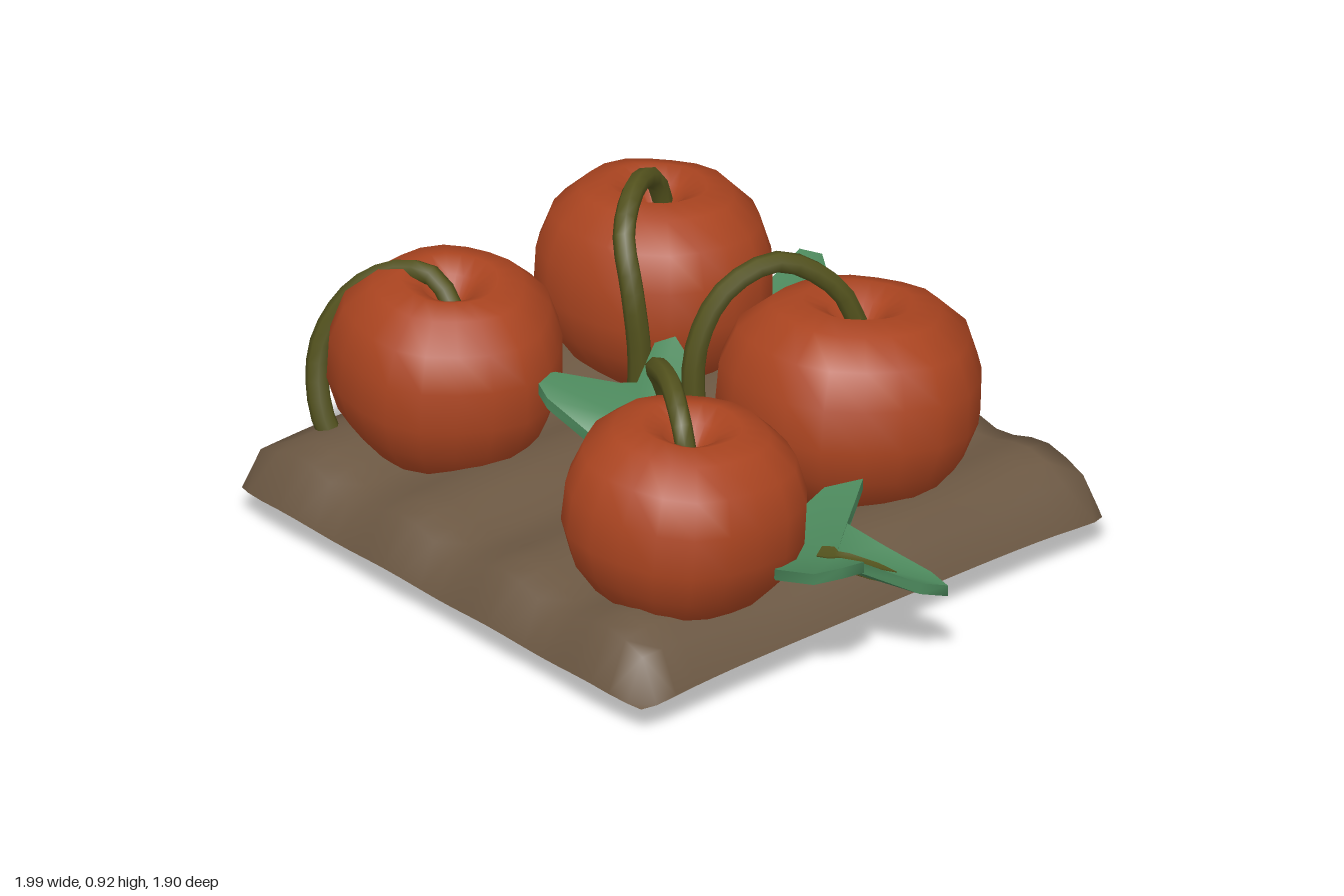
import * as THREE from 'three';
import { mergeVertices } from 'three/addons/utils/BufferGeometryUtils.js';

const material = (name, color, side = THREE.FrontSide) => {
  const m = new THREE.MeshStandardMaterial({ color, side });
  m.name = name;
  return m;
};

export function createModel() {
  const group = new THREE.Group();
  const soil = material('soil brown', 0x6c5843, THREE.DoubleSide);
  const orange = material('pumpkin orange', 0xaa4420);
  const olive = material('stem olive', 0x53521d, THREE.DoubleSide);
  const green = material('leaf green', 0x4b875b, THREE.DoubleSide);

  const add = (name, geometry, mat) => {
    const mesh = new THREE.Mesh(geometry, mat);
    mesh.name = name;
    group.add(mesh);
    return mesh;
  };
  const smooth = (g) => {
    g.deleteAttribute('uv');
    g.deleteAttribute('normal');
    const merged = mergeVertices(g, 1e-4);
    merged.computeVertexNormals();
    return merged;
  };

  // Furrowed patch of earth: an open sheet with its rim folded down
  const N = 24;
  const patch = new THREE.PlaneGeometry(2, 2, N, N).rotateX(-Math.PI / 2);
  const pos = patch.attributes.position;
  const half = 0.868;
  const spread = (i) => {
    if (i === 0 || i === N) return i ? half : -half;
    return ((i - 1) / (N - 2) * 2 - 1) * (half - 0.06);
  };
  for (let k = 0; k < pos.count; k++) {
    const i = k % (N + 1), j = Math.floor(k / (N + 1));
    const ring = Math.min(i, j, N - i, N - j);
    let x = spread(i), z = spread(j);
    const corner = Math.max(0, Math.abs(x) + Math.abs(z) - 1.66);
    x -= Math.sign(x) * corner * 0.3;
    z -= Math.sign(z) * corner * 0.3;
    const wave = Math.cos((x - 0.23) * Math.PI * 2 / 0.43);
    let y = 0.243 + 0.024 * wave + 0.005 * Math.sin(z * 7 + x * 3);
    if (ring === 1) y -= 0.015;
    if (ring === 0) {
      const onSide = i === 0 || i === N;
      y = onSide ? 0.11 - 0.03 * Math.abs(z / half) ** 5 : 0.094 + 0.007 * wave;
      z += onSide ? 0 : 0.006 * wave;
    }
    pos.setXYZ(k, x - 0.13, y, z + 0.077);
  }
  add('soilPatch', smooth(patch), soil);

  // Pumpkins: squat ribbed lathes, dimpled at both ends
  const profile = [[0.45, 0], [0.7, 0.12], [0.89, 0.27], [0.99, 0.45],
    [0.98, 0.66], [0.87, 0.84], [0.64, 0.965], [0.41, 1], [0.23, 0.945], [0.1, 0.84], [0, 0.8]];
  const pumpkin = (name, [x, z], [rx, rz], bottom, top, tiltX, tiltZ, phase, dimple) => {
    const full = [[0, dimple], [0.25, dimple * 0.8], ...profile];
    const g = new THREE.LatheGeometry(full.map((p) => new THREE.Vector2(...p)), 20);
    const p = g.attributes.position, h = top - bottom;
    for (let k = 0; k < p.count; k++) {
      const px = p.getX(k), pz = p.getZ(k), a = Math.atan2(pz, px);
      const rib = 0.99 + 0.025 * Math.cos(a * 5 + phase) + 0.012 * Math.cos(a * 3 - phase);
      p.setXYZ(k, px * rx * rib, (p.getY(k) - 0.5) * h, pz * rz * rib);
    }
    const mesh = add(name, smooth(g), orange);
    mesh.position.set(x, (top + bottom) / 2, z);
    mesh.rotation.set(tiltX, 0, tiltZ);
  };
  pumpkin('frontLeftPatchPumpkin', [-0.63, 0.467], [0.335, 0.335], 0.165, 0.73, 0, -0.04, 0.5, 0.04);
  pumpkin('backLeftPatchPumpkin', [-0.637, -0.3], [0.35, 0.33], 0.165, 0.735, -0.08, 0.05, 2, 0.04);
  pumpkin('backRightPatchPumpkin', [0.25, -0.255], [0.375, 0.38], 0.165, 0.745, -0.13, 0.06, 1, 0.2);
  pumpkin('frontRightPatchPumpkin', [0.43, 0.522], [0.345, 0.35], 0.165, 0.72, -0.08, -0.03, 3, 0.04);

  // Arching stems, thicker toward the ground; the root end may be brown
  const stem = (name, points, brownFrom = 1) => {
    const curve = new THREE.CatmullRomCurve3(points.map((p) => new THREE.Vector3(...p)));
    const segs = 20, sides = 7;
    const g = new THREE.TubeGeometry(curve, segs, 1, sides);
    const p = g.attributes.position, v = new THREE.Vector3();
    for (let k = 0; k < p.count; k++) {
      const t = Math.floor(k / (sides + 1)) / segs;
      const c = curve.getPointAt(t);
      v.fromBufferAttribute(p, k).sub(c).multiplyScalar(0.029 + 0.007 * t).add(c);
      p.setXYZ(k, v.x, v.y, v.z);
    }
    const split = Math.round(segs * brownFrom) * sides * 6;
    g.addGroup(0, split, 0);
    g.addGroup(split, g.index.count - split, 1);
    add(name, g, [olive, soil]);
    // Cut end
    const cap = add(name + 'End', new THREE.CircleGeometry(0.036, sides), brownFrom < 1 ? soil : green);
    const end = curve.getPointAt(1);
    cap.position.copy(end);
    cap.lookAt(end.clone().add(curve.getTangentAt(1)));
  };
  stem('frontLeftStem', [[-0.6, 0.65, 0.475], [-0.66, 0.72, 0.485], [-0.77, 0.715, 0.525],
    [-0.865, 0.64, 0.605], [-0.91, 0.48, 0.69], [-0.87, 0.29, 0.72], [-0.79, 0.13, 0.68],
    [-0.69, 0.025, 0.625]], 0.78);
  stem('backLeftStem', [[-0.665, 0.63, -0.36], [-0.65, 0.75, -0.31], [-0.58, 0.805, -0.18],
    [-0.48, 0.74, -0.05], [-0.41, 0.6, -0.02], [-0.39, 0.4, -0.03], [-0.41, 0.17, -0.04]]);
  stem('backRightStem', [[0.22, 0.64, -0.31], [0.19, 0.78, -0.25], [0.12, 0.885, -0.1],
    [0.075, 0.83, 0.06], [0.06, 0.68, 0.15], [0.07, 0.45, 0.165], [0.1, 0.2, 0.15]]);
  stem('frontRightStem', [[0.45, 0.61, 0.52], [0.41, 0.71, 0.51], [0.28, 0.765, 0.44],
    [0.13, 0.72, 0.36], [0.07, 0.62, 0.28], [0.06, 0.45, 0.22], [0.09, 0.2, 0.22]]);

  // Thin closed plate: upper fan, lower fan and a crisp rim
  const plate = (name, centre, outline, thickness, mat) => {
    const n = outline.length;
    const low = ([x, y, z]) => [x, y - thickness, z];
    const top = [centre, ...outline];
    const points = [...top, ...top.map(low), ...outline, ...outline.map(low)];
    const index = [], under = n + 1, rim = 2 * n + 2;
    for (let i = 0; i < n; i++) {
      const j = (i + 1) % n;
      index.push(0, i + 1, j + 1, under, under + j + 1, under + i + 1);
      index.push(rim + i, rim + n + i, rim + j, rim + j, rim + n + i, rim + n + j);
    }
    const g = new THREE.BufferGeometry();
    g.setAttribute('position', new THREE.Float32BufferAttribute(points.flat(), 3));
    g.setIndex(index);
    g.computeVertexNormals();
    add(name, g, mat);
  };

  // Three-lobed leaves
  const thick = 0.034;
  const rightCentre = [0.75, 0.335, 0.24];
  const rightOutline = [[0.5, 0.33, 0.2], [0.6, 0.32, 0.36], [0.75, 0.375, 0.46],
    [0.93, 0.44, 0.475], [0.975, 0.455, 0.41], [0.94, 0.42, 0.3], [0.86, 0.37, 0.25],
    [0.97, 0.3, 0.12], [0.995, 0.275, 0.04], [0.92, 0.285, 0.035], [0.8, 0.34, 0.1],
    [0.67, 0.37, 0.13], [0.64, 0.41, 0.07], [0.59, 0.43, 0], [0.53, 0.41, 0.09]];
  plate('rightLeaf', rightCentre, rightOutline, thick, green);
  plate('backLeaf', [-0.34, 0.305, -0.68], [[-0.33, 0.3, -0.51], [-0.17, 0.34, -0.53],
    [-0.07, 0.39, -0.65], [-0.11, 0.39, -0.7], [-0.22, 0.32, -0.72], [-0.2, 0.25, -0.86],
    [-0.24, 0.225, -0.93], [-0.3, 0.22, -0.95], [-0.37, 0.26, -0.87], [-0.42, 0.31, -0.77],
    [-0.53, 0.38, -0.82], [-0.58, 0.39, -0.78], [-0.54, 0.35, -0.62], [-0.45, 0.31, -0.53]],
  thick, green);
  plate('centreLeaf', [-0.04, 0.43, 0.26], [[0.09, 0.5, 0.27], [0.01, 0.49, 0.11],
    [-0.08, 0.54, 0.05], [-0.17, 0.575, 0.03], [-0.2, 0.56, 0.08], [-0.17, 0.48, 0.17],
    [-0.2, 0.48, 0.21], [-0.31, 0.52, 0.35], [-0.33, 0.52, 0.41], [-0.25, 0.49, 0.43],
    [-0.12, 0.42, 0.39], [-0.02, 0.32, 0.42], [0.04, 0.29, 0.48], [0.09, 0.33, 0.42]],
  thick, green);

  // Olive vein lying on both faces of the right leaf
  const reach = [0.28, 0.28, 0.12, 0.08, 0.1, 0.14, 0.25, 0.42, 0.55, 0.45, 0.28, 0.15, 0.08, 0.08, 0.14];
  const veinOutline = (dy) => rightOutline.map((p, i) =>
    p.map((v, a) => THREE.MathUtils.lerp(rightCentre[a], v, reach[i]) + (a === 1 ? dy : 0)));
  [['Upper', 0.003], ['Lower', 0.003 - thick]].forEach(([side, dy]) =>
    plate('leafVein' + side, [rightCentre[0], rightCentre[1] + dy, rightCentre[2]],
      veinOutline(dy), 0.006, olive));

  return group;
}
